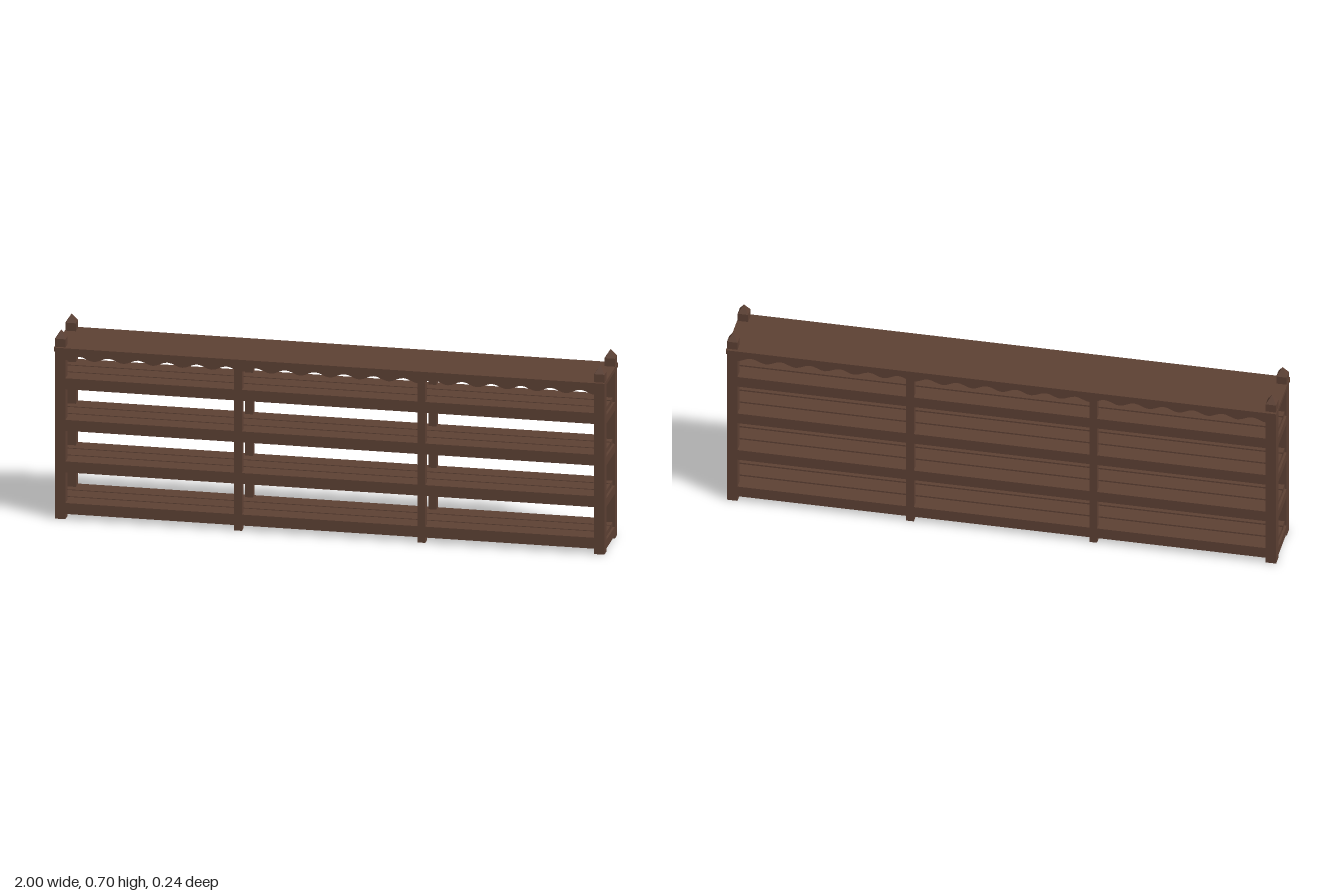
import * as THREE from 'three';

export function createModel() {
  const root = new THREE.Group();
  root.name = 'shelfRack';
  const wood = new THREE.MeshStandardMaterial({ color: 0x5c4033 });
  wood.name = 'dark brown wood';

  const add = (name, geo, x, y, z) => {
    const m = new THREE.Mesh(geo, wood);
    m.name = name;
    m.position.set(x, y, z);
    root.add(m);
  };
  // box given by its limits
  const box = (name, x0, x1, y0, y1, z0, z1) =>
    add(name, new THREE.BoxGeometry(x1 - x0, y1 - y0, z1 - z0),
      (x0 + x1) / 2, (y0 + y1) / 2, (z0 + z1) / 2);

  const IN = 0.072, OUT = 0.111;
  const cornerX = 0.979, cornerW = 0.038, midX = 0.333, midW = 0.028;
  const railZ = OUT - midW / 2;

  for (const sz of [1, -1]) {
    const zc = sz * (IN + OUT) / 2;
    for (const sx of [1, -1]) {
      // corner posts with pyramid tips
      add('cornerPost', new THREE.BoxGeometry(cornerW, 0.675, OUT - IN), sx * cornerX, 0.3375, zc);
      const tip = new THREE.ConeGeometry(Math.SQRT1_2, 0.03, 4, 1, true).toNonIndexed();
      tip.rotateY(Math.PI / 4);
      tip.scale(cornerW, 1, OUT - IN);
      tip.computeVertexNormals();
      add('postTip', tip, sx * cornerX, 0.69, zc);
      // slimmer middle posts
      add('middlePost', new THREE.BoxGeometry(midW, 0.63, midW), sx * midX, 0.315, sz * railZ);
    }
    // scalloped trim below the top board
    const trim = new THREE.Shape();
    const half = 0.964, lobes = 18, steps = lobes * 8;
    trim.moveTo(half, 0.63);
    trim.lineTo(-half, 0.63);
    for (let i = 0; i <= steps; i++) {
      const t = i / steps;
      trim.lineTo(-half + 2 * half * t, 0.605 - 0.008 * Math.cos(2 * Math.PI * lobes * t));
    }
    const trimGeo = new THREE.ExtrudeGeometry(trim, { depth: 0.012, bevelEnabled: false });
    add('scallopedTrim', trimGeo, 0, 0, sz > 0 ? OUT - 0.012 : -OUT);
  }

  // four slatted shelves
  for (let i = 0; i < 4; i++) {
    const y = 0.012 + i * 0.156, top = y + 0.032;
    for (const s of [1, -1]) {
      // end bars joining front and back posts
      box('endBar', s * cornerX - cornerW / 2, s * cornerX + cornerW / 2, y, top, -IN, IN);
      // long rails flush with the post faces
      add('longRail', new THREE.BoxGeometry(1.93, 0.024, midW), 0, top - 0.012, s * railZ);
    }
    // slats covering the full depth
    for (const [z0, z1] of [[-OUT, -0.041], [-0.033, 0.034], [0.042, OUT]])
      box('slat', -0.99, 0.99, top, top + 0.017, z0, z1);
  }

  // top board
  box('topBoard', -1, 1, 0.63, 0.645, -0.122, 0.122);
  return root;
}
